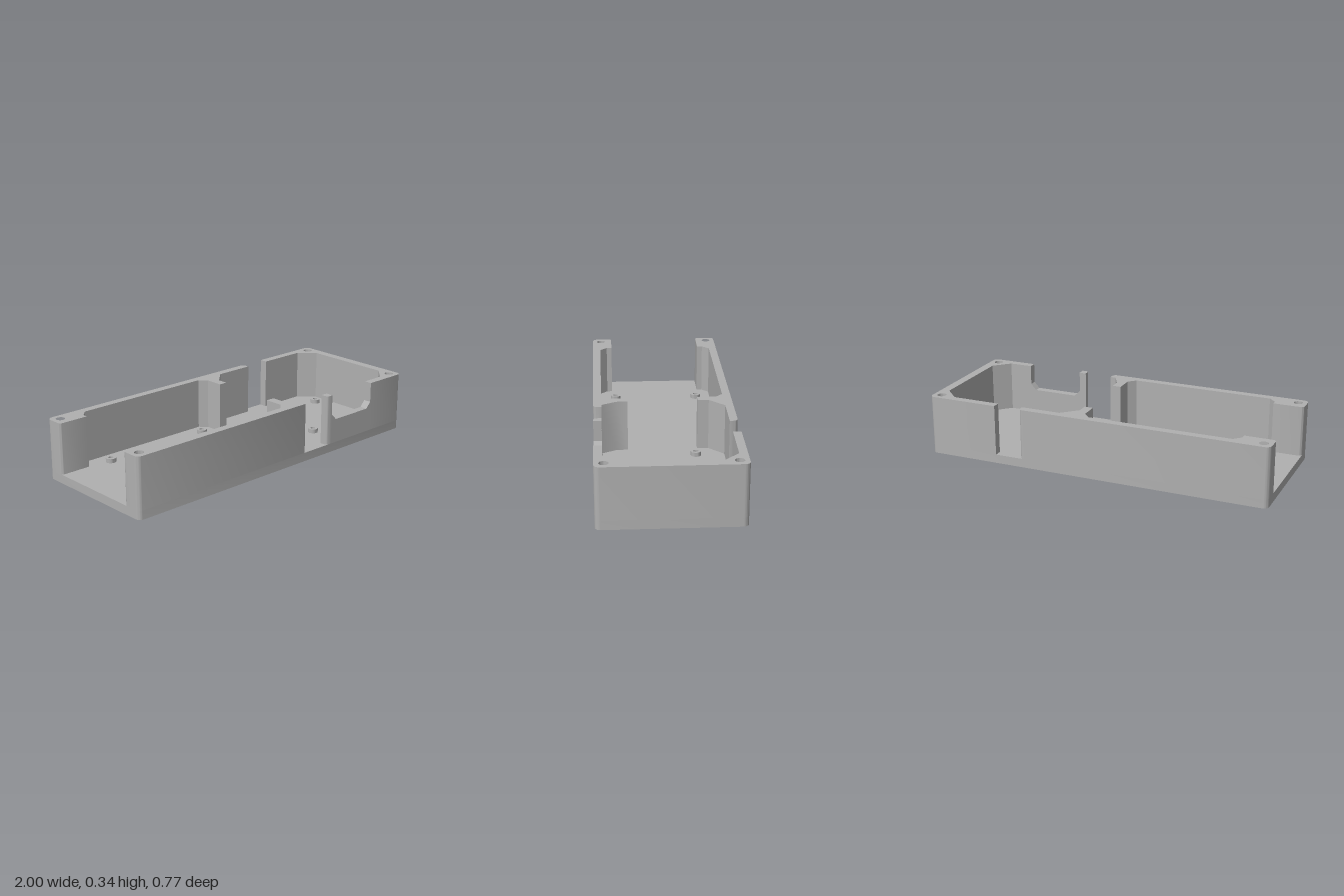
import * as THREE from 'three';
import { toCreasedNormals } from 'three/addons/utils/BufferGeometryUtils.js';

const H = 0.34, FLOOR = 0.05, W = 0.385, IN = 0.34;
const HOLE_X = 0.95, HOLE_Z = 0.335, HOLE_R = 0.025;
const CORNER = 0.03;

// Shape from [x, z, radius?] points; a radius rounds that corner
function outline(points) {
  const shape = new THREE.Shape();
  const n = points.length;
  points.forEach(([x, y, r = 0], i) => {
    const p = new THREE.Vector2(x, y);
    const toward = (q, d) => new THREE.Vector2(q[0], q[1]).sub(p).setLength(d).add(p);
    const prev = points[(i + n - 1) % n], next = points[(i + 1) % n];
    const a = r ? toward(prev, r) : p;
    if (i === 0) shape.moveTo(a.x, a.y);
    else shape.lineTo(a.x, a.y);
    if (r) {
      const b = toward(next, r), c = toward(prev, r * 0.448), d = toward(next, r * 0.448);
      shape.bezierCurveTo(c.x, c.y, d.x, d.y, b.x, b.y);
    }
  });
  shape.closePath();
  return shape;
}

function drill(shape, x, z, r) {
  const hole = new THREE.Path();
  hole.absarc(x, z, r, 0, Math.PI * 2, true);
  shape.holes.push(hole);
}

// Extrude a plan shape upward between two heights
function rise(shape, y0, y1) {
  const geo = new THREE.ExtrudeGeometry(shape, { depth: y1 - y0, bevelEnabled: false, curveSegments: 12 });
  geo.rotateX(Math.PI / 2).translate(0, y1, 0);
  return toCreasedNormals(geo, 0.6);
}

export function createModel() {
  const group = new THREE.Group();
  const grey = new THREE.MeshStandardMaterial({ color: 0xb0b0b0 });
  grey.name = 'plain grey';
  const add = (name, geo) => {
    const mesh = new THREE.Mesh(geo, grey);
    mesh.name = name;
    group.add(mesh);
  };

  // Floor plate with four screw holes
  const floor = outline([[-1, -W, CORNER], [1, -W, CORNER], [1, W, CORNER], [-1, W, CORNER]]);
  for (const x of [-HOLE_X, HOLE_X]) for (const z of [-HOLE_Z, HOLE_Z]) drill(floor, x, z, HOLE_R);
  add('floor', rise(floor, 0, FLOOR));

  // Left half walls: corner block, thin wall and dividing rib share one profile
  const leftWall = (s, end) => {
    const shape = outline([
      [-1, s * W, CORNER], [-1, s * 0.27, 0.02], [-0.825, s * 0.27], [-0.825, s * 0.3],
      [-0.785, s * IN], [0.03, s * IN], [0.07, s * 0.3], [0.07, s * 0.195], [0.12, s * 0.195],
      [0.12, s * 0.257], ...end,
    ]);
    drill(shape, -HOLE_X, s * HOLE_Z, HOLE_R);
    return rise(shape, FLOOR, H);
  };
  add('backWall', leftWall(-1, [[0.205, -IN], [0.435, -IN], [0.435, -W, 0.025]]));
  add('frontWall', leftWall(1, [[0.165, IN], [0.197, IN], [0.197, W, 0.025]]));

  // Right end wall, wrapping from the back slot to the front notch
  const end = outline([
    [0.585, -W], [1, -W, CORNER], [1, W, CORNER], [0.73, W], [0.73, IN], [0.865, IN],
    [0.95, 0.255], [0.95, -0.255], [0.865, -IN], [0.585, -IN],
  ]);
  for (const z of [-HOLE_Z, HOLE_Z]) drill(end, HOLE_X, z, HOLE_R);
  add('endWall', rise(end, FLOOR, H));

  // Slim post beside the front doorway
  add('frontPost', rise(outline([[0.36, IN], [0.4, IN], [0.4, W], [0.36, W, 0.02]]), FLOOR, H));

  // Low front sill with chamfered notch corners
  const sill = new THREE.ExtrudeGeometry(outline([
    [0.4, FLOOR], [0.73, FLOOR], [0.73, 0.225], [0.698, 0.19], [0.435, 0.19], [0.4, 0.225],
  ]), { depth: W - IN, bevelEnabled: false });
  sill.translate(0, 0, IN);
  add('frontSill', sill);

  // Hollow board standoffs
  const ring = new THREE.Shape().absarc(0, 0, 0.029, 0, Math.PI * 2, false);
  drill(ring, 0, 0, 0.014);
  const standoff = rise(ring, FLOOR, 0.074);
  const spots = [[-0.69, -0.25], [-0.69, 0.25], [-0.025, -0.25], [-0.025, 0.25],
    [0.212, -0.18], [0.865, -0.18], [0.465, 0.18]];
  for (const [x, z] of spots) add('standoff', standoff.clone().translate(x, 0, z));

  return group;
}
